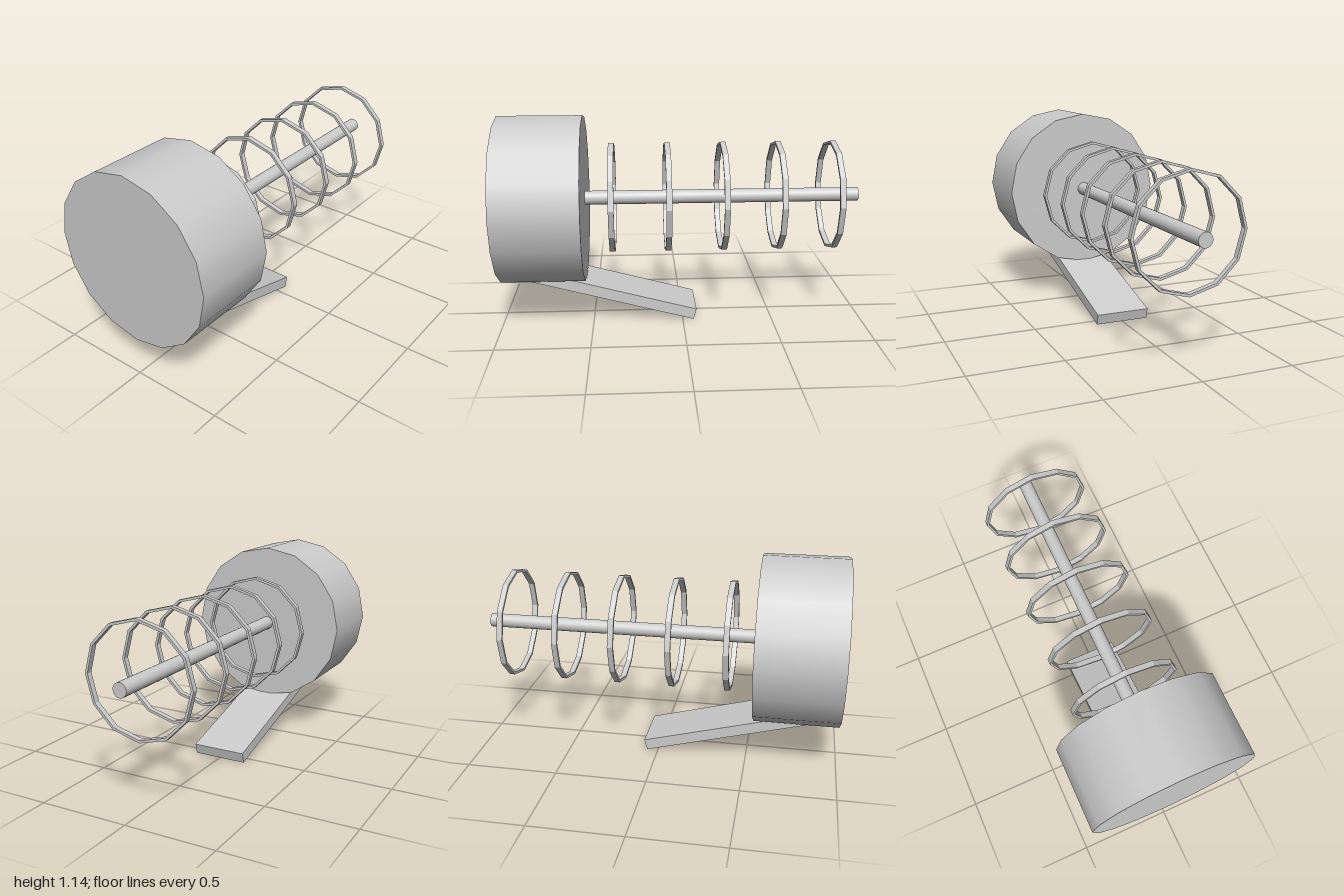
import * as THREE from 'three';

const AXIS_Y = 0.677;

export function createModel() {
  const model = new THREE.Group();
  const smooth = new THREE.MeshStandardMaterial({ color: 0xcccccc });
  const flat = new THREE.MeshStandardMaterial({ color: 0xcccccc, flatShading: true });

  const add = (name, geometry, material, x, y) => {
    const mesh = new THREE.Mesh(geometry, material);
    mesh.name = name;
    mesh.position.set(x, y, 0);
    model.add(mesh);
    return mesh;
  };

  // Parts that turn about the x axis are made along y and laid on their side
  const addAxial = (name, geometry, material, x) => {
    geometry.rotateZ(-Math.PI / 2);
    return add(name, geometry, material, x, AXIS_Y);
  };

  // Sixteen-sided drum and the rod leaving its face
  addAxial('drum', new THREE.CylinderGeometry(0.4615, 0.4615, 0.4615, 16), smooth, -0.769);
  addAxial('rod', new THREE.CylinderGeometry(0.0385, 0.0385, 1.5385, 24), smooth, 0.2308);

  // Five thin twelve-sided rings of rectangular section around the rod
  const outer = 0.3077, inner = 0.2935, half = 0.0154;
  const section = [
    [inner, -half], [outer, -half], [outer, half], [inner, half], [inner, -half],
  ].map(([r, h]) => new THREE.Vector2(r, h));
  for (let i = 0; i < 5; i++) {
    addAxial(`ring${i + 1}`, new THREE.LatheGeometry(section, 12), flat, -0.387 + i * 0.3077);
  }

  // Sloping foot plate, its upper end sunk into the drum
  const length = 1.0, tilt = THREE.MathUtils.degToRad(15);
  const foot = add('footPlate', new THREE.BoxGeometry(length, 0.0615, 0.3077), smooth,
    0.069 - (length / 2) * Math.cos(tilt), 0.03 + (length / 2) * Math.sin(tilt));
  foot.rotation.z = -tilt;

  return model;
}
